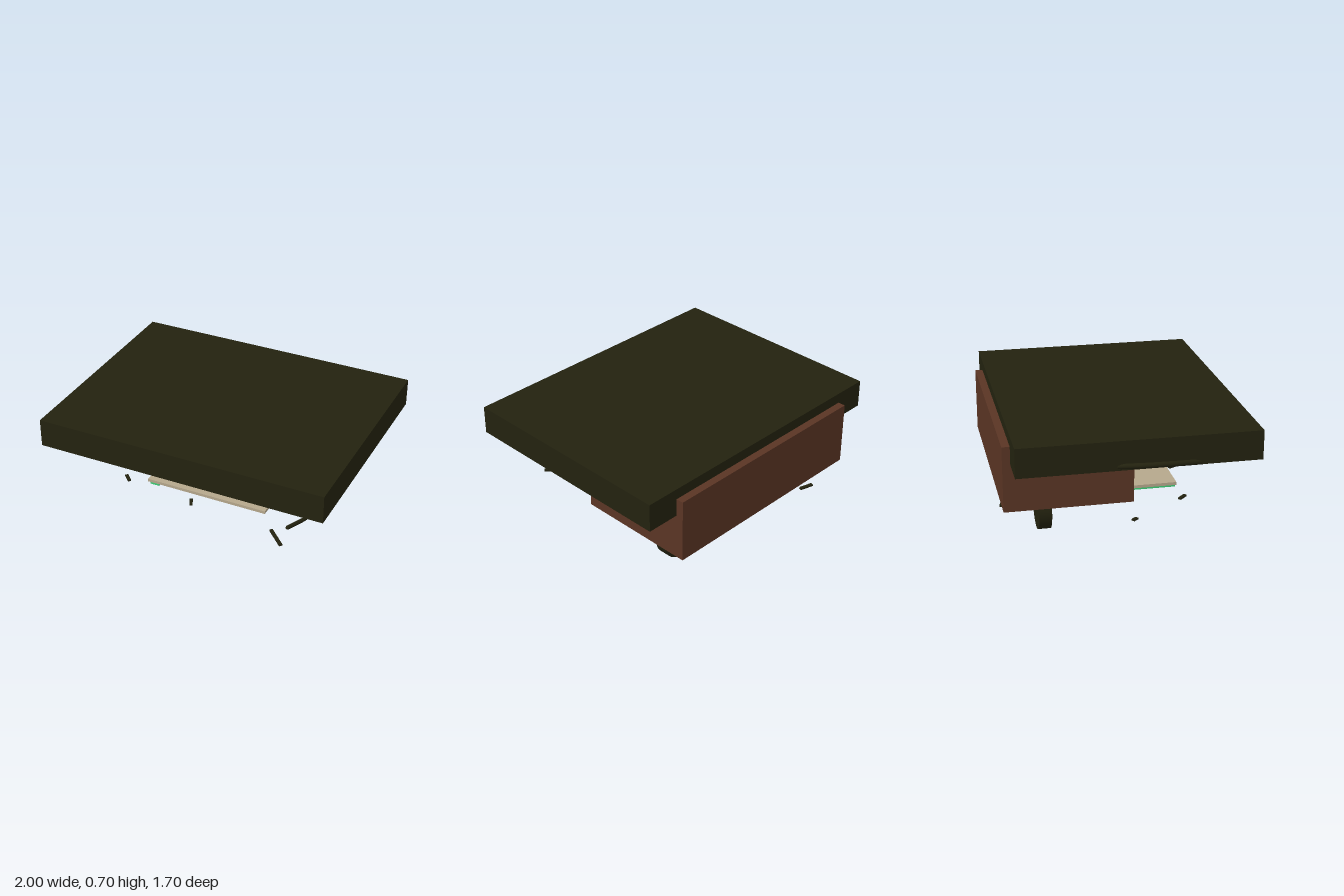
import * as THREE from 'three';

const mat = (name, color) => {
  const m = new THREE.MeshStandardMaterial({ color });
  m.name = name;
  return m;
};

export function createModel() {
  const group = new THREE.Group();
  const dark = mat('darkOlive', 0x23220f);
  const brown = mat('brown', 0x5a3524);
  const green = mat('green', 0x3dcc75);
  const beige = mat('beige', 0xb5a78c);

  const add = (name, geometry, material) => {
    const mesh = new THREE.Mesh(geometry, material);
    mesh.name = name;
    group.add(mesh);
    return mesh;
  };
  // Box given by its extents on each axis
  const box = (name, [x0, x1], [y0, y1], [z0, z1], material) =>
    add(name, new THREE.BoxGeometry(x1 - x0, y1 - y0, z1 - z0), material)
      .position.set((x0 + x1) / 2, (y0 + y1) / 2, (z0 + z1) / 2);

  // Main bodies
  box('topSlab', [-0.95, 1.0], [0.512, 0.7], [-0.8, 0.71], dark);
  box('rearHousing', [-0.73, 0.78], [0.205, 0.63], [-0.85, -0.04], brown);

  // Panels underneath
  box('greenPanel', [-0.565, 0.095], [0.167, 0.205], [-0.455, -0.197], green);
  box('floatingPlate', [-0.4, 0.455], [0.147, 0.167], [0.03, 0.315], beige);
  box('plateTab', [-0.385, -0.32], [0.13, 0.147], [0.035, 0.31], green);

  // Wheels, axle along z
  for (const x of [-0.54, 0.56]) {
    const wheel = add('wheel', new THREE.CylinderGeometry(0.14, 0.14, 0.08, 40), dark);
    wheel.rotation.x = Math.PI / 2;
    wheel.position.set(x, 0.14, -0.585);
  }

  // Row of parallel rods beside the left wheel
  for (let i = 0; i < 7; i++) {
    const rod = add('rod', new THREE.CylinderGeometry(0.012, 0.012, 0.28, 12), dark);
    rod.rotation.x = Math.PI / 2;
    rod.position.set(0.105 + i * 0.0715, 0.144, -0.598);
  }

  // Loose flat slivers: x0, z0, x1, z1
  const slivers = [
    [0.67, 0.55, 0.55, 0.43], [-0.03, 0.41, -0.06, 0.35], [-0.53, 0.34, -0.58, 0.29],
    [-0.81, -0.04, -0.835, -0.07], [0.195, 0.075, 0.1, 0.015], [-0.092, 0.12, -0.095, -0.015],
    [-0.2, -0.39, -0.205, -0.5], [-0.37, -0.81, -0.46, -0.835],
  ];
  for (const [x0, z0, x1, z1] of slivers) {
    const dx = x1 - x0, dz = z1 - z0;
    const s = add('sliver', new THREE.BoxGeometry(0.022, 0.011, Math.hypot(dx, dz)), dark);
    s.position.set((x0 + x1) / 2, 0.129, (z0 + z1) / 2);
    s.rotation.y = Math.atan2(dx, dz);
  }

  // Curved cables with round ends
  const cable = (name, points, r) => {
    const pts = points.map((p) => new THREE.Vector3(...p));
    add(name, new THREE.TubeGeometry(new THREE.CatmullRomCurve3(pts), 40, r, 12), dark);
    for (const p of [pts[0], pts[pts.length - 1]])
      add(name + 'End', new THREE.SphereGeometry(r, 12, 8), dark).position.copy(p);
  };
  cable('leftCable', [[0.68, 0.415, 0.06], [0.83, 0.44, 0.25], [0.905, 0.466, 0.47],
    [0.88, 0.49, 0.67], [0.828, 0.51, 0.835]], 0.0125);
  cable('rightCable', [[-0.71, 0.51, -0.45], [-0.88, 0.525, -0.3], [-0.96, 0.54, -0.1],
    [-0.978, 0.542, 0.12], [-0.94, 0.525, 0.31], [-0.85, 0.49, 0.48]], 0.017);

  return group;
}
